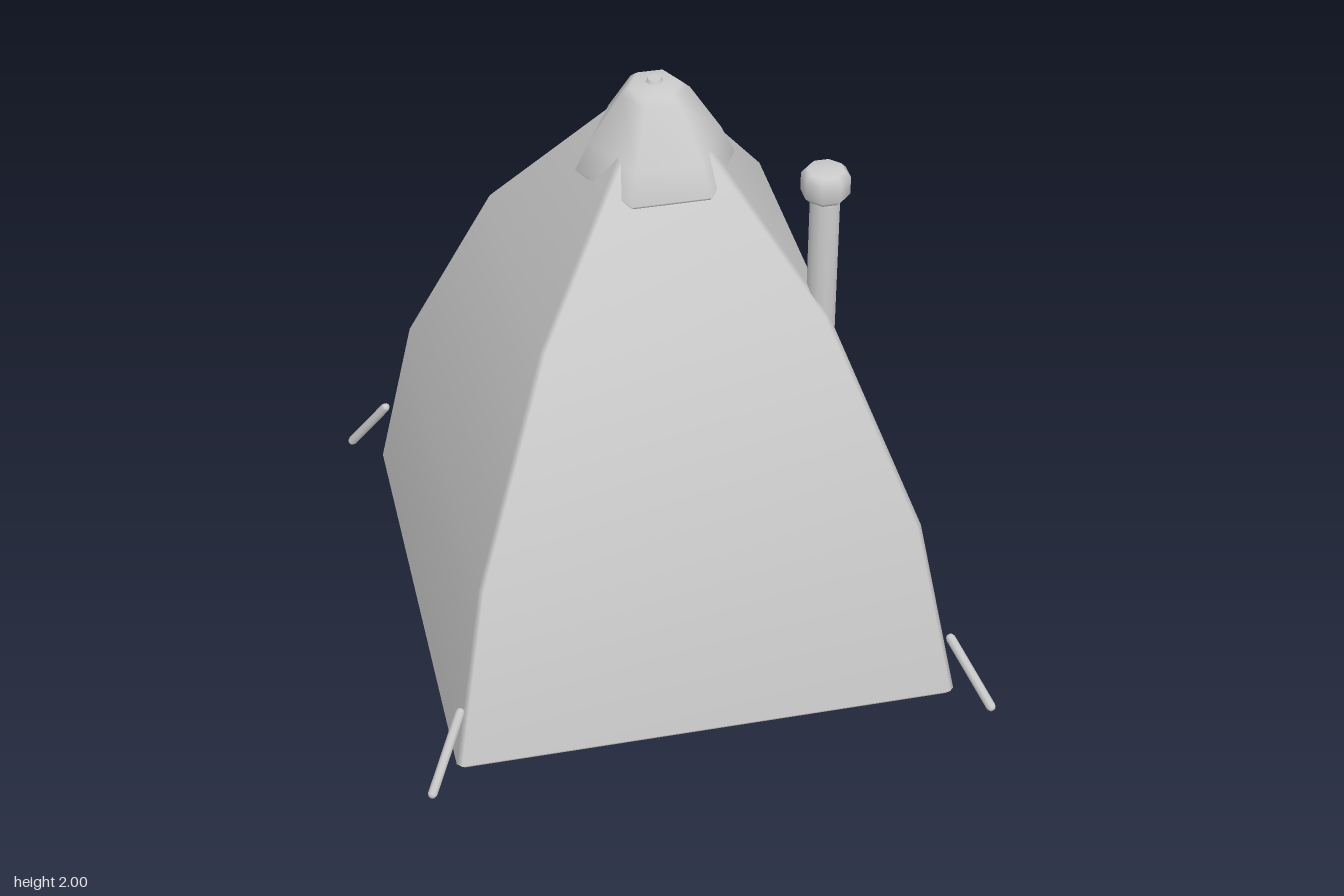
import * as THREE from 'three';
import { RoundedBoxGeometry } from 'three/addons/geometries/RoundedBoxGeometry.js';

const material = new THREE.MeshStandardMaterial({ color: 0xcccccc });

function add(parent, name, geometry, x = 0, y = 0, z = 0) {
  const mesh = new THREE.Mesh(geometry, material);
  mesh.name = name;
  mesh.position.set(x, y, z);
  parent.add(mesh);
  return mesh;
}

function lathe(points, segments, phi = 0) {
  return new THREE.LatheGeometry(points.map(([r, y]) => new THREE.Vector2(r, y)), segments, phi);
}

// Square rings [half width, height] with slightly clipped corners, joined into a closed skin
function squareLoft(profile, clip) {
  const positions = [], index = [];
  for (const [w, y] of profile) {
    const c = w - Math.min(clip, w * 0.3);
    for (const [x, z] of [[c, w], [w, c], [w, -c], [c, -w], [-c, -w], [-w, -c], [-w, c], [-c, w]]) {
      positions.push(x, y, z);
    }
  }
  for (let r = 0; r < profile.length - 1; r++) {
    for (let i = 0; i < 8; i++) {
      const a = r * 8 + i, b = r * 8 + (i + 1) % 8;
      index.push(a, b, b + 8, a, b + 8, a + 8);
    }
  }
  const top = (profile.length - 1) * 8;
  for (let i = 1; i < 7; i++) index.push(top, top + i, top + i + 1);
  const geometry = new THREE.BufferGeometry();
  geometry.setAttribute('position', new THREE.Float32BufferAttribute(positions, 3));
  geometry.setIndex(index);
  geometry.computeVertexNormals();
  return geometry;
}

export function createModel() {
  const model = new THREE.Group();
  model.name = 'tent';

  // Canvas walls and floor
  add(model, 'tentWalls', squareLoft(
    [[0.82, 0.003], [0.832, 0.02], [0.72, 0.65], [0.46, 1.34], [0.05, 1.95]], 0.015));
  add(model, 'tentFloor', new THREE.PlaneGeometry(1.64, 1.64), 0, 0.003, 0).rotation.x = Math.PI / 2;

  // Six-sided hood over the peak, with the ridges poking through
  const hood = add(model, 'peakHood', lathe(
    [[0, 1.69], [0.27, 1.69], [0.285, 1.705], [0.235, 1.8], [0.122, 1.96], [0.09, 1.985], [0, 1.99]],
    6, Math.PI / 6), 0, 0, 0.012);
  hood.scale.x = 0.9;
  add(model, 'peakKnob', new THREE.CylinderGeometry(0.022, 0.03, 0.02, 8), 0, 1.99, 0);

  // Stove pipe
  const stovePipe = new THREE.Group();
  stovePipe.name = 'stovePipe';
  stovePipe.position.set(0.45, 0, 0.385);
  add(stovePipe, 'pipe', lathe(
    [[0, 1.1], [0.048, 1.1], [0.048, 1.73], [0.04, 1.745], [0.04, 1.77]], 12));
  add(stovePipe, 'pipeCap', lathe(
    [[0, 1.745], [0.058, 1.745], [0.077, 1.765], [0.077, 1.825], [0.058, 1.845], [0, 1.845]], 8, Math.PI / 8));
  model.add(stovePipe);

  // Propped-open flap at the back
  const flap = add(model, 'backFlap', new RoundedBoxGeometry(0.52, 0.54, 0.062, 3, 0.025), 0, 0.748, -0.79);
  flap.rotation.x = -0.277;

  // Corner stakes leaning outwards
  for (const sx of [-1, 1]) {
    for (const sz of [-1, 1]) {
      const low = new THREE.Vector3(0.928 * sx, 0.016, 0.928 * sz);
      const high = new THREE.Vector3(0.812 * sx, 0.238, 0.812 * sz);
      const axis = high.clone().sub(low);
      const stake = add(model, 'cornerStake', new THREE.CapsuleGeometry(0.016, axis.length(), 2, 8));
      stake.position.copy(low).add(high).multiplyScalar(0.5);
      stake.quaternion.setFromUnitVectors(new THREE.Vector3(0, 1, 0), axis.normalize());
    }
  }
  return model;
}
